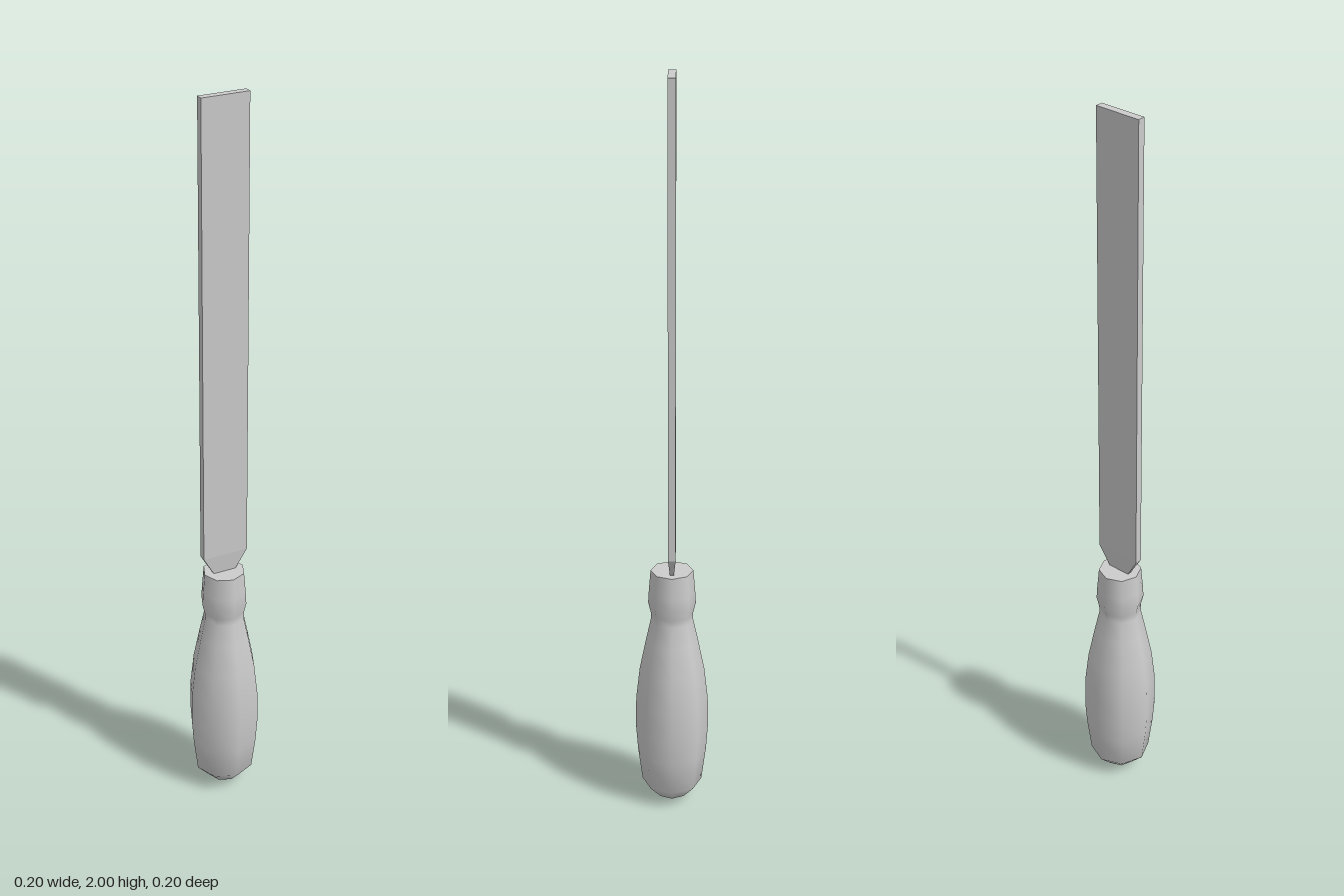
import * as THREE from 'three';

const material = (flatShading = false) => new THREE.MeshStandardMaterial({ color: 0xcccccc, flatShading });

// Eight-sided turned handle with a rounded butt, a neck and a collar
const HANDLE = [
  [0, 0], [0.045, 0.015], [0.082, 0.055], [0.094, 0.15], [0.099, 0.22], [0.098, 0.31],
  [0.088, 0.4], [0.07, 0.49], [0.057, 0.55], [0.057, 0.57], [0.064, 0.6], [0.062, 0.635], [0.057, 0.695],
];

// Blade sections from bottom to top: height, half width, half thickness
const BLADE = [[0.68, 0.024, 0.004], [0.75, 0.064, 0.01], [2, 0.064, 0.01]];

function makeHandle() {
  const handle = new THREE.Group();
  handle.name = 'handle';
  const grip = new THREE.Mesh(
    new THREE.LatheGeometry(HANDLE.map(([r, y]) => new THREE.Vector2(r, y)), 8), material());
  grip.name = 'grip';

  // Flat end cap, kept separate for a sharp rim
  const [capRadius, capHeight] = HANDLE[HANDLE.length - 1];
  const cap = new THREE.Mesh(new THREE.CircleGeometry(capRadius, 8).rotateX(-Math.PI / 2), material());
  cap.position.y = capHeight;
  cap.name = 'gripEnd';
  handle.add(grip, cap);
  return handle;
}

function makeBlade() {
  // A box whose rows of vertices are moved onto the blade sections
  const geometry = new THREE.BoxGeometry(2, 2, 2, 1, BLADE.length - 1, 1);
  const p = geometry.attributes.position;
  for (let i = 0; i < p.count; i++) {
    const [y, w, t] = BLADE[Math.round((p.getY(i) + 1) / 2 * (BLADE.length - 1))];
    p.setXYZ(i, p.getX(i) * w, y, p.getZ(i) * t);
  }
  geometry.computeVertexNormals();
  const blade = new THREE.Mesh(geometry, material(true));
  blade.name = 'blade';
  return blade;
}

export function createModel() {
  const file = new THREE.Group();
  file.name = 'handFile';
  file.add(makeHandle(), makeBlade());
  return file;
}
